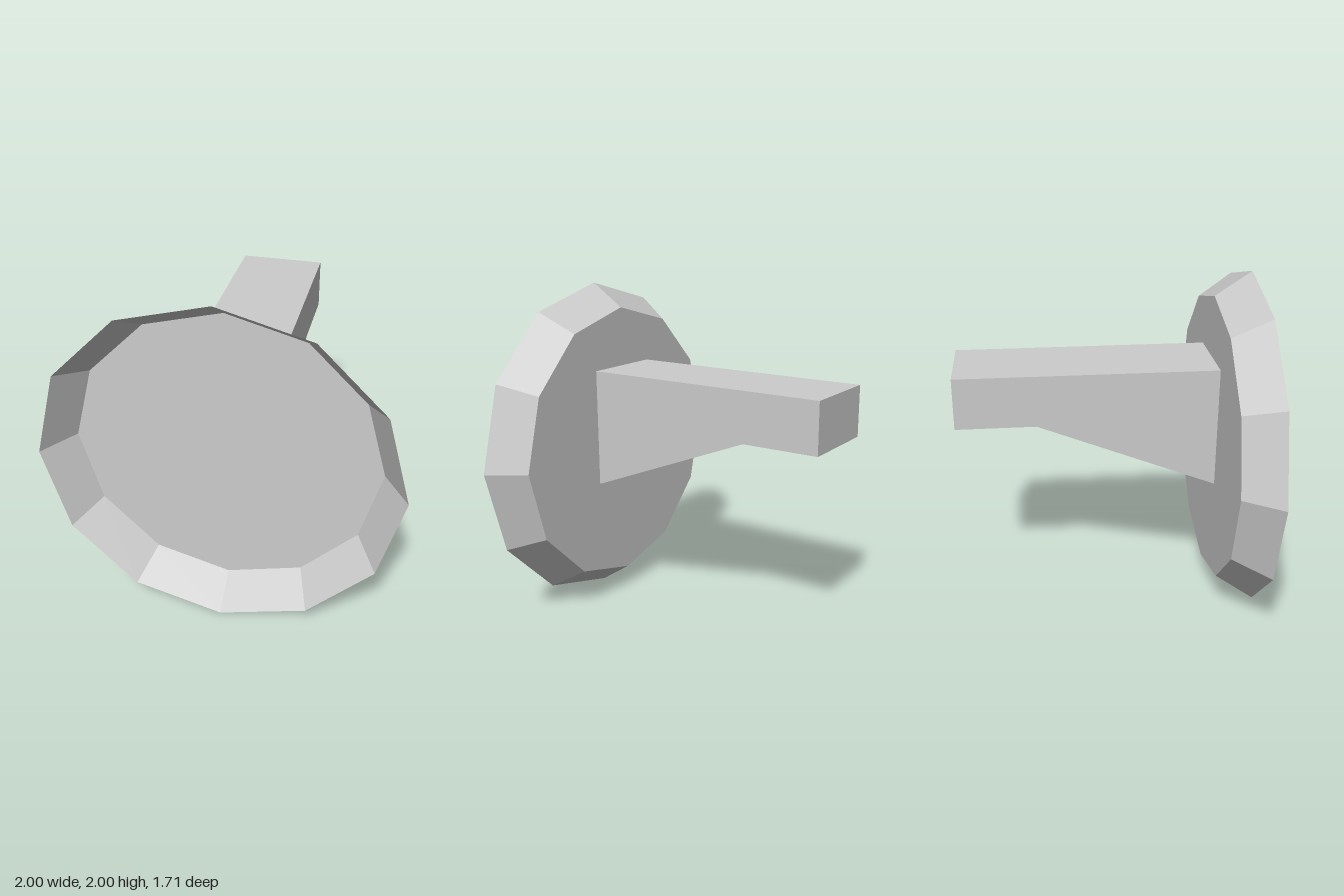
import * as THREE from 'three';

export function createModel() {
  const group = new THREE.Group();
  const grey = new THREE.MeshStandardMaterial({ color: 0xcccccc, flatShading: true, side: THREE.DoubleSide });
  grey.name = 'lightGrey';

  const add = (name, geometry) => {
    const mesh = new THREE.Mesh(geometry, grey);
    mesh.name = name;
    group.add(mesh);
    return mesh;
  };

  const sides = 12, outer = 1, inner = 0.86, zFront = 0.855, zBack = 0.645;

  // Shallow dish, open to the front: thin flared rim around a flat back plate
  const rim = new THREE.CylinderGeometry(outer, inner, zFront - zBack, sides, 1, true);
  rim.rotateX(Math.PI / 2);
  add('dishRim', rim).position.set(0, 1, (zFront + zBack) / 2);
  add('dishPlate', new THREE.CircleGeometry(inner, sides)).position.set(0, 1, zBack);

  // Arm behind the dish: side profile as (z, y), extruded across x
  const profile = [[zBack, 0.785], [zBack, 1.5], [-0.855, 1.5], [-0.855, 1.2], [-0.395, 1.2]];
  const shape = new THREE.Shape(profile.map(([z, y]) => new THREE.Vector2(z, y)));
  const arm = new THREE.ExtrudeGeometry(shape, { depth: 0.5, bevelEnabled: false });
  arm.translate(0, 0, -0.25);
  arm.rotateY(-Math.PI / 2);
  add('arm', arm);

  return group;
}
